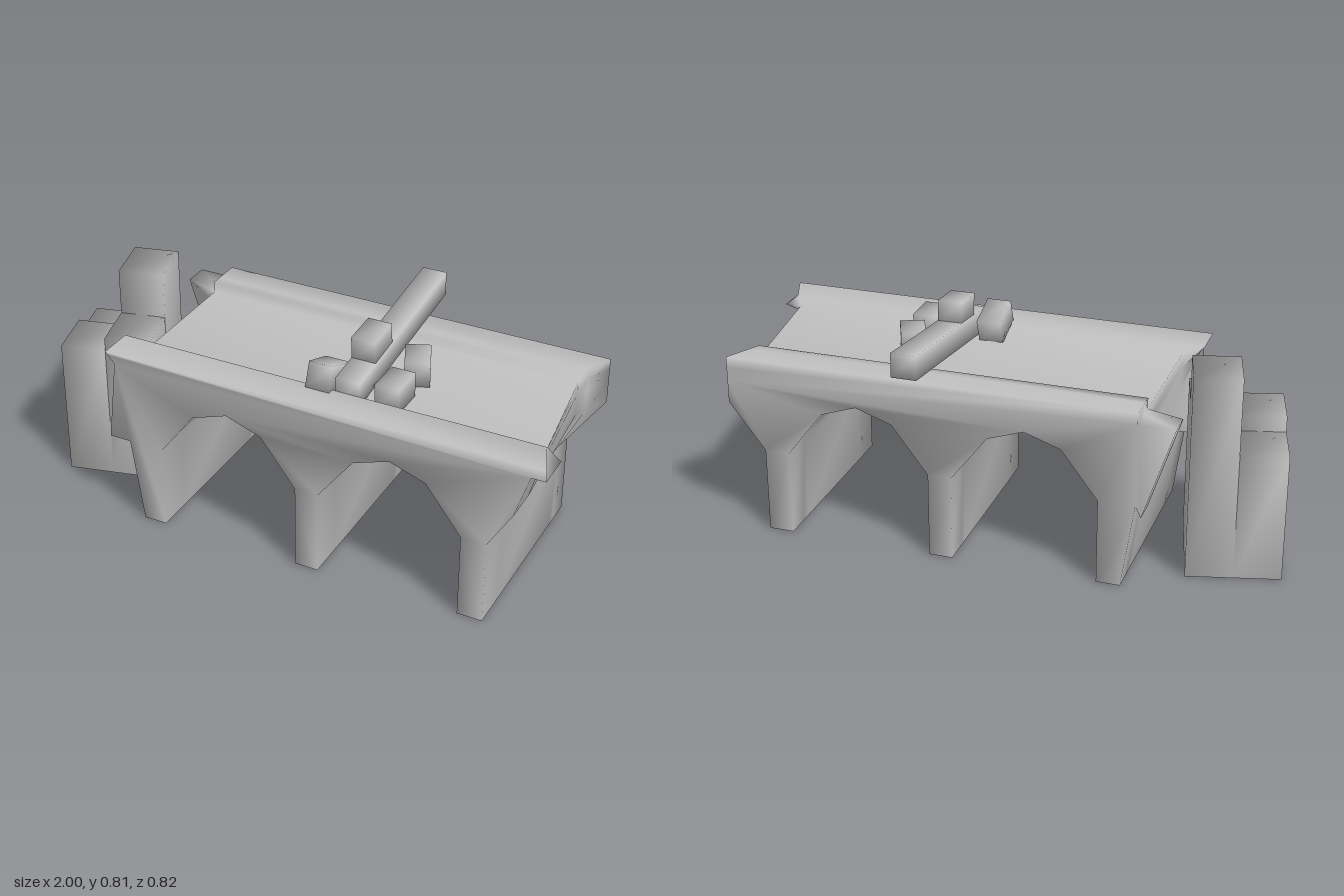
import * as THREE from 'three';
import { mergeVertices, mergeGeometries } from 'three/addons/utils/BufferGeometryUtils.js';

// Weld shared corners so the shading runs softly across edges
function soften(geo) {
  geo.deleteAttribute('normal');
  geo.deleteAttribute('uv');
  const welded = mergeVertices(geo, 1e-4);
  welded.computeVertexNormals();
  return welded;
}

// Outline of the two arches and three piers, left to right along the underside
const underside = [[-0.485, 0]];
for (const x of [-0.4, 0.205]) {
  underside.push([x, 0], [x, 0.31], [x + 0.13, 0.48], [x + 0.26, 0.525],
    [x + 0.39, 0.48], [x + 0.52, 0.31], [x + 0.52, 0]);
}
underside.push([0.815, 0], [0.815, 0.31]);

// Ragged ends: left runs downwards, right runs upwards
const ends = {
  frontLeft: [[-0.61, 0.65], [-0.6, 0.64], [-0.575, 0.61], [-0.61, 0.31], [-0.53, 0.31]],
  deckLeft: [[-0.53, 0.61], [-0.53, 0.56], [-0.53, 0.48], [-0.53, 0.38], [-0.53, 0.31]],
  innerLeft: [[-0.53, 0.65], [-0.53, 0.61], [-0.53, 0.56], [-0.53, 0.33], [-0.53, 0.31]],
  shardLeft: [[-0.53, 0.65], [-0.53, 0.61], [-0.66, 0.61], [-0.55, 0.27], [-0.53, 0.31]],
};

// Cross-sections from front to back; parapets rise above the deck
const stations = [
  [0.41, ends.frontLeft, [[0.9, 0.45], [0.95, 0.61], [1, 0.61], [1, 0.65]]],
  [0.28, ends.frontLeft, [[0.9, 0.45], [0.945, 0.61], [1, 0.61], [0.95, 0.65]]],
  [0.28, ends.deckLeft, [[0.9, 0.45], [0.93, 0.56], [0.935, 0.59], [0.94, 0.61]]],
  [-0.2, ends.deckLeft, [[0.88, 0.48], [0.88, 0.56], [0.88, 0.59], [0.88, 0.61]]],
  [-0.2, ends.innerLeft, [[0.88, 0.48], [0.88, 0.56], [0.88, 0.61], [0.88, 0.65]]],
  [-0.24, ends.shardLeft, [[0.9, 0.48], [0.9, 0.56], [0.9, 0.61], [0.9, 0.65]]],
  [-0.33, ends.shardLeft, [[0.945, 0.48], [0.945, 0.56], [0.945, 0.61], [0.945, 0.65]]],
];

function bridgeGeometry() {
  const loops = stations.map(([z, left, right]) =>
    [...left, ...underside, ...right].map(([x, y]) => new THREE.Vector3(x, y, z)));
  const n = loops[0].length;
  const index = [];
  for (let s = 0; s < loops.length - 1; s++) {
    for (let i = 0; i < n; i++) {
      const j = (i + 1) % n;
      const a = s * n + i, b = s * n + j, c = b + n, d = a + n;
      index.push(a, d, c, a, c, b);
    }
  }
  // Front and back faces
  const cap = (s, flip) => {
    const flat = loops[s].map((p) => new THREE.Vector2(p.x, p.y));
    for (const [a, b, c] of THREE.ShapeUtils.triangulateShape(flat, [])) {
      index.push(s * n + a, s * n + (flip ? c : b), s * n + (flip ? b : c));
    }
  };
  cap(0, false);
  cap(loops.length - 1, true);
  const geo = new THREE.BufferGeometry().setFromPoints(loops.flat());
  geo.setIndex(index);
  return soften(geo);
}

// Four stepped quarters standing together
function towerGeometry() {
  const w = 0.165, d = 0.195;
  const quarters = [[1, -1, 0.74], [1, 1, 0.57], [-1, 1, 0.52], [-1, -1, 0.465]];
  return soften(mergeGeometries(quarters.map(([sx, sz, h]) =>
    new THREE.BoxGeometry(w, h, d).translate(sx * w / 2, h / 2, sz * d / 2))));
}

export function createModel() {
  const model = new THREE.Group();
  const stone = new THREE.MeshStandardMaterial({ color: 0xc0c0c0 });
  stone.name = 'stone';
  const add = (name, geo, x = 0, y = 0, z = 0, rx = 0, ry = 0) => {
    const mesh = new THREE.Mesh(geo, stone);
    mesh.name = name;
    mesh.position.set(x, y, z);
    mesh.rotation.set(rx, ry, 0);
    model.add(mesh);
  };

  add('bridge', bridgeGeometry());
  add('steppedTower', towerGeometry(), -0.79, 0, 0.03, 0, 0.25);

  // Long beam, sloping up towards the back with upright ends
  const beam = new THREE.BoxGeometry(0.09, 0.088, 0.695);
  const p = beam.attributes.position;
  for (let i = 0; i < p.count; i++) p.setY(i, p.getY(i) - p.getZ(i) * 0.125);
  add('fallenBeam', soften(beam), 0.25, 0.699, -0.067);

  // Loose blocks on and around the beam
  const block = soften(new THREE.BoxGeometry(0.088, 0.09, 0.13));
  const blocks = [
    ['leaningBlock', 0.15, 0.671, 0.229, -0.35, 0],
    ['blockOnBeam', 0.25, 0.755, 0.098, 0.08, 0],
    ['straightBlock', 0.383, 0.655, 0.195, 0, 0],
    ['turnedBlock', 0.383, 0.655, 0.015, 0, 0.4],
  ];
  for (const [name, ...place] of blocks) add(name, block, ...place);
  return model;
}
